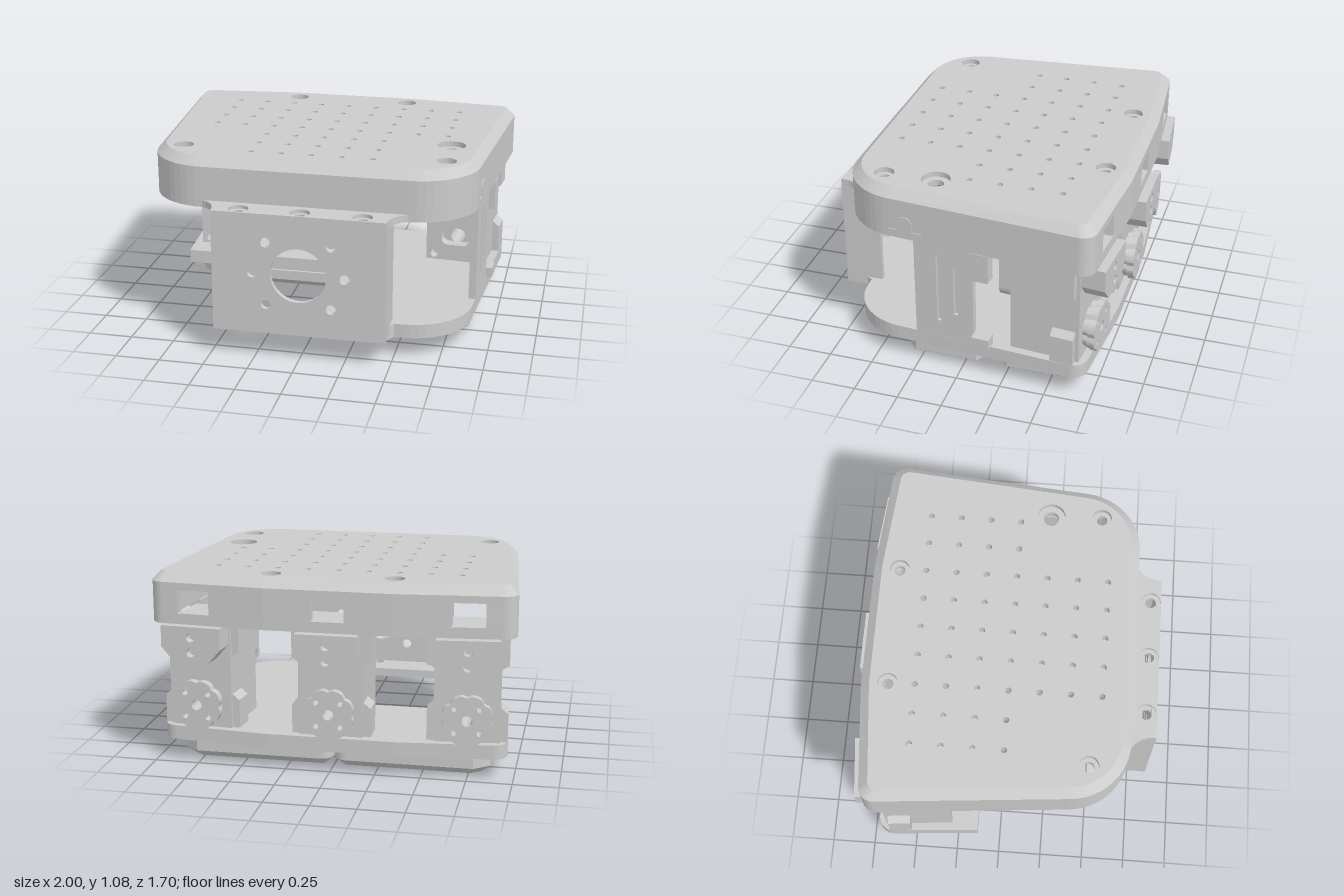
import * as THREE from 'three';

const grey = new THREE.MeshStandardMaterial({ color: 0xcccccc, flatShading: true, side: THREE.DoubleSide });
const V = (x, y) => new THREE.Vector2(x, y);

function add(parent, name, geo) {
  const m = new THREE.Mesh(geo, grey);
  m.name = name;
  parent.add(m);
  return m;
}
// box from min / max limits
function box(parent, name, x0, x1, y0, y1, z0, z1) {
  const g = new THREE.BoxGeometry(x1 - x0, y1 - y0, z1 - z0);
  g.translate((x0 + x1) / 2, (y0 + y1) / 2, (z0 + z1) / 2);
  return add(parent, name, g);
}
// circular hole path
function hole(x, y, r, n = 16) {
  return new THREE.Path(Array.from({ length: n }, (_, i) => V(x + r * Math.cos(i / n * 2 * Math.PI), y + r * Math.sin(i / n * 2 * Math.PI))));
}
function shape(pts, holes = []) {
  const s = new THREE.Shape(pts);
  s.holes.push(...holes);
  return s;
}
// plan shape (x, z) raised between two heights
function slab(s, y0, y1) {
  const g = new THREE.ExtrudeGeometry(s, { depth: y1 - y0, bevelEnabled: false });
  return g.rotateX(Math.PI / 2).translate(0, y1, 0);
}
// front shape (x, y) pushed along z
function slice(s, z0, z1) {
  return new THREE.ExtrudeGeometry(s, { depth: z1 - z0, bevelEnabled: false }).translate(0, 0, z0);
}
// polygon given as [x, z, radius], with its corners rounded
function rounded(poly, seg = 12) {
  const out = [];
  poly.forEach(([x, y, r], i) => {
    const p = V(x, y);
    if (!r) { out.push(p); return; }
    const n = poly.length, a = poly[(i + n - 1) % n], b = poly[(i + 1) % n];
    const da = V(a[0], a[1]).sub(p).normalize(), db = V(b[0], b[1]).sub(p).normalize();
    const half = Math.acos(da.dot(db)) / 2, t = r / Math.tan(half);
    const c = p.clone().add(da.clone().add(db).normalize().multiplyScalar(r / Math.sin(half)));
    const s = p.clone().addScaledVector(da, t).sub(c), e = p.clone().addScaledVector(db, t).sub(c);
    const a0 = s.angle();
    let d = e.angle() - a0;
    d = Math.atan2(Math.sin(d), Math.cos(d));
    for (let k = 0; k <= seg; k++) out.push(V(c.x + r * Math.cos(a0 + d * k / seg), c.y + r * Math.sin(a0 + d * k / seg)));
  });
  return out;
}
// lid outline, inset by d
function lidOutline(d) {
  const r = [[0.35, -0.8 + d, 0], [1.007 - d, -0.745 + d, 0.08 - d * 0.6], [0.885 - d, 0.7 - d, 0.34 - d]];
  return rounded([...r, ...r.map(([x, z, q]) => [-x, z, q]).reverse()]);
}

function buildLid(root) {
  const lid = new THREE.Group();
  lid.name = 'lid';
  root.add(lid);
  const outer = lidOutline(0), inner = lidOutline(0.06), top = lidOutline(0.05);
  const ring = shape(outer, [new THREE.Path(inner)]);
  add(lid, 'lowerRim', slab(ring, 0.8, 0.86));
  add(lid, 'upperRim', slab(ring, 0.99, 1.03));
  // wall band with three rear windows
  const u = outer.slice(1, -1), v = inner.slice(1, -1).reverse();
  add(lid, 'sideWall', slab(shape([V(0.84, -0.76), ...u, V(-0.84, -0.76), V(-0.84, -0.7), ...v, V(0.84, -0.7)]), 0.86, 0.99));
  for (const s of [-1, 1]) {
    const pts = [[0.09, -0.8], [0.35, -0.8], [0.66, -0.773], [0.66, -0.713], [0.35, -0.74], [0.09, -0.74]];
    add(lid, 'rearWall', slab(shape(pts.map(([x, z]) => V(s * x, z))), 0.86, 0.99));
  }
  // chamfer strip round the top edge
  const pos = [], idx = [], n = outer.length;
  for (let i = 0; i < n; i++) {
    pos.push(outer[i].x, 1.03, outer[i].y, top[i].x, 1.08, top[i].y);
    const a = 2 * i, b = 2 * ((i + 1) % n);
    idx.push(a, a + 1, b, b, a + 1, b + 1);
  }
  const ch = new THREE.BufferGeometry();
  ch.setAttribute('position', new THREE.Float32BufferAttribute(pos, 3));
  ch.setIndex(idx);
  ch.computeVertexNormals();
  add(lid, 'chamfer', ch);
  // top panel: grid holes and counterbored screw holes
  const grid = () => {
    const h = [];
    for (let r = 0; r < 7; r++) {
      const k = r < 4 ? 4 : 2;
      for (let c = -k; c <= k; c++) h.push(hole(c * 0.17, -0.5 + r * 0.171, 0.018, 10));
    }
    return h;
  };
  const screws = [[-0.34, -0.65, 0.055], [0.34, -0.65, 0.055], [-0.735, 0.475, 0.055], [0.735, 0.475, 0.055], [0.725, 0.185, 0.08]];
  add(lid, 'topPanel', slab(shape(top, [...grid(), ...screws.map(([x, z, r]) => hole(x, z, r, 24))]), 1.05, 1.08));
  add(lid, 'ceiling', slab(shape(top, [...grid(), ...screws.map(([x, z, r]) => hole(x, z, r * 0.55, 24))]), 1.02, 1.05));
  // raised arch and slot cover on the side wall
  const arch = new THREE.Shape();
  arch.moveTo(-0.045, 0).lineTo(0.045, 0).lineTo(0.045, 0.045).absarc(0, 0.045, 0.045, 0, Math.PI, false);
  const am = add(lid, 'sideArch', new THREE.ExtrudeGeometry(arch, { depth: 0.01, bevelEnabled: false }));
  am.position.set(0.914, 0.845, 0.3);
  am.rotation.y = Math.PI / 2 - 0.085;
  const cover = box(lid, 'sideSlotCover', -0.01, 0.005, 0.825, 0.85, -0.095, 0.095);
  cover.position.set(0.919, 0, 0.3);
  cover.rotation.y = -0.085;
}

function buildFront(root) {
  const g = new THREE.Group();
  g.name = 'frontBracket';
  root.add(g);
  // tongue with concave flanks
  const flank = [];
  for (let i = 0; i <= 8; i++) {
    const a = i / 8 * Math.PI / 2;
    flank.push(V(0.62 - 0.14 * Math.sin(a), 0.83 - 0.14 * Math.cos(a)));
  }
  const half = [V(0.62, 0.62), ...flank, V(0.48, 0.85)];
  const tongue = [...half, ...half.map(p => V(-p.x, p.y)).reverse()];
  const holes = r => [-0.34, 0, 0.34].map(x => hole(x, 0.79, r, 24));
  add(g, 'tongueTop', slab(shape(tongue, holes(0.055)), 0.82, 0.84));
  add(g, 'tongueBase', slab(shape(tongue, holes(0.03)), 0.8, 0.82));
  const rect = (z0, z1) => [V(-0.48, z0), V(0.48, z0), V(0.48, z1), V(-0.48, z1)];
  add(g, 'bottomFlange', slab(shape(rect(0.63, 0.85), holes(0.032)), 0.15, 0.2));
  // front plate with bolt circle
  const bolts = [hole(0, 0.5, 0.155, 40)];
  for (const s of [-1, 1]) for (const [x, y] of [[0.18, 0.68], [0.255, 0.5], [0.18, 0.32]]) bolts.push(hole(s * x, y, 0.028));
  add(g, 'frontPlate', slice(shape(rect(0.15, 0.83), bolts), 0.82, 0.85));
  for (const s of [-1, 1]) box(g, 'sideRib', s * 0.465 - 0.015, s * 0.465 + 0.015, 0.2, 0.8, 0.63, 0.82);
}

function buildBase(root) {
  const outline = rounded([[-0.35, -0.76, 0], [0.35, -0.76, 0], [0.967, -0.705, 0.08], [0.865, 0.69, 0.34],
    [0.5, 0.69, 0], [0.47, 0.74, 0], [0.03, 0.74, 0], [0.03, -0.13, 0], [-0.925, -0.13, 0], [-0.967, -0.705, 0.08]]);
  add(root, 'basePlate', slab(shape(outline), 0.12, 0.2));
  // bevelled pads below the base plate, with clipped outer corners
  const pad = (s, z0, z1) => {
    const p = [[s * 0.002, z0, 0.07], [s * 0.78, z0, 0], [s * 0.87, z0 + 0.07, 0], [s * 0.87, z1 - 0.1, 0], [s * 0.77, z1, 0], [s * 0.002, z1, 0.07]];
    const geo = new THREE.ExtrudeGeometry(shape(rounded(p, 5)), { depth: 0.06, bevelThickness: 0.045, bevelSize: 0.055, bevelOffset: -0.055, bevelSegments: 1 });
    add(root, 'basePad', geo.rotateX(Math.PI / 2).translate(0, 0.105, 0));
  };
  pad(1, -0.675, -0.15);
  pad(-1, -0.675, -0.15);
  pad(1, -0.145, 0.38);
}

function buildSideWall(root) {
  const g = new THREE.Group();
  g.name = 'sideSupport';
  g.position.set(0.885, 0, 0.06);
  g.rotation.y = -0.07;
  root.add(g);
  // upright with a long slot, plus tabs at its rear end
  const slot = (z, y0, y1) => new THREE.Path([V(z - 0.012, y0), V(z + 0.012, y0), V(z + 0.012, y1), V(z - 0.012, y1)]);
  const s = shape([V(-0.2, 0.2), V(0.14, 0.2), V(0.14, 0.8), V(-0.2, 0.8)], [slot(-0.06, 0.3, 0.72), slot(0.04, 0.36, 0.66)]);
  add(g, 'upright', new THREE.ExtrudeGeometry(s, { depth: 0.025, bevelEnabled: false }).rotateY(Math.PI / 2));
  box(g, 'uprightBacking', -0.015, 0.005, 0.2, 0.8, -0.14, 0.2);
  box(g, 'upperTab', -0.015, 0.06, 0.63, 0.8, -0.24, -0.14);
  box(g, 'lowerTab', -0.015, 0.06, 0.2, 0.26, -0.24, -0.14);
}

function buildServo(root, x, z, turn) {
  const g = new THREE.Group();
  g.name = 'servo';
  g.position.set(x, 0, z);
  g.rotation.y = turn;
  root.add(g);
  const body = [V(-0.18, 0.2), V(0.18, 0.2), V(0.18, 0.8), V(-0.18, 0.8)];
  const pocket = rounded([[-0.09, 0.3, 0.04], [0.09, 0.3, 0.04], [0.09, 0.41, 0.04], [-0.09, 0.41, 0.04]], 4);
  add(g, 'servoBody', slice(shape(body, [hole(0, 0.34, 0.045)]), -0.07, 0.25));
  add(g, 'servoFace', slice(shape(body, [new THREE.Path(pocket), ...[-0.13, 0.13].flatMap(a => [hole(a, 0.235, 0.025), hole(a, 0.77, 0.016)])]), 0.25, 0.32));
  // rounded upper housing and cable boss
  const housing = rounded([[-0.17, 0.48, 0.07], [0.15, 0.48, 0.07], [0.15, 0.75, 0], [-0.17, 0.75, 0]], 6);
  add(g, 'upperHousing', slice(shape(housing), 0.32, 0.4));
  box(g, 'cableBoss', -0.16, -0.02, 0.48, 0.73, 0.4, 0.44);
  // mounting ears above and below, with sloped inner ends
  for (const s of [-1, 1]) {
    const ear = (a, b, c) => slice(shape([V(s * 0.17, a), V(s * 0.22, a), V(s * 0.22, b), V(s * 0.17, c)]), -0.05, 0.08);
    add(g, 'upperEar', ear(0.8, 0.63, 0.6));
    add(g, 'lowerEar', ear(0.2, 0.36, 0.4));
  }
  // scalloped output horn
  const horn = (r, holes) => shape(Array.from({ length: 64 }, (_, i) => {
    const a = i / 64 * Math.PI * 2, q = r - 0.014 * Math.pow(Math.abs(Math.cos(a * 4)), 6);
    return V(q * Math.cos(a), 0.34 + q * Math.sin(a));
  }), holes);
  const hornHoles = () => [hole(0, 0.34, 0.03), ...Array.from({ length: 4 }, (_, i) => {
    const a = (i + 0.5) * Math.PI / 2;
    return hole(0.095 * Math.cos(a), 0.34 + 0.095 * Math.sin(a), 0.016, 10);
  })];
  add(g, 'hornBack', slice(horn(0.13, hornHoles()), -0.1, -0.07));
  add(g, 'hornFront', slice(horn(0.142, hornHoles()), -0.14, -0.1));
  // upper mounting block with two screw holes
  const block = [V(-0.17, 0.8), V(-0.17, 0.68), V(-0.1, 0.6), V(0.1, 0.6), V(0.17, 0.68), V(0.17, 0.8)];
  add(g, 'mountBlock', slice(shape(block), -0.15, -0.05));
  add(g, 'mountBlockFace', slice(shape(block, [hole(0, 0.655, 0.025), hole(0, 0.74, 0.025)]), -0.2, -0.15));
}

export function createModel() {
  const root = new THREE.Group();
  root.name = 'robotBody';
  buildLid(root);
  buildFront(root);
  buildBase(root);
  buildSideWall(root);
  buildServo(root, 0, -0.65, 0);
  for (const s of [-1, 1]) buildServo(root, s * 0.738, -0.615, -s * 0.09);
  return root;
}
